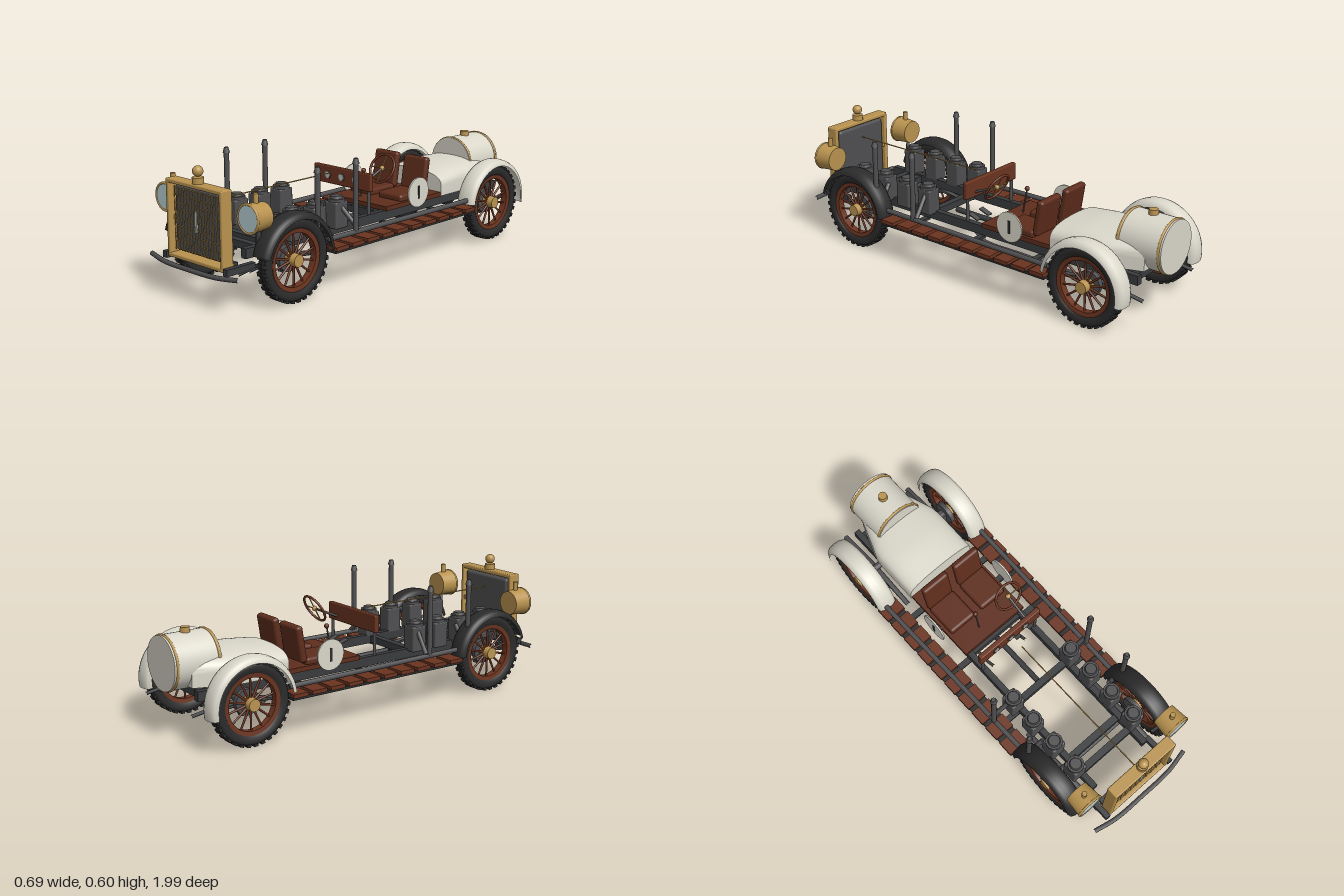
import * as THREE from 'three';
import { mergeGeometries, toCreasedNormals } from 'three/addons/utils/BufferGeometryUtils.js';
import { RoundedBoxGeometry } from 'three/addons/geometries/RoundedBoxGeometry.js';

const paint = (name, color, side = THREE.FrontSide) => {
  const m = new THREE.MeshStandardMaterial({ color, side });
  m.name = name;
  return m;
};
const V = (x, y, z) => new THREE.Vector3(x, y, z);

export function createModel() {
  const rubber = paint('black rubber', 0x2b2b2b, THREE.DoubleSide);
  const steel = paint('grey steel', 0x4f4f51);
  const iron = paint('dark chassis iron', 0x3a3b3d);
  const brass = paint('brass', 0xb9934f);
  const wood = paint('red brown wood', 0x6b3420);
  const leather = paint('brown leather', 0x5e2d1c);
  const cream = paint('cream paint', 0xdad7ca, THREE.DoubleSide);
  const glass = paint('pale lamp glass', 0xb7cfd4);
  const silver = paint('silver', 0xbdbcb4);

  const car = new THREE.Group();
  car.name = 'vintageRacer';
  const add = (name, geo, mat, x = 0, y = 0, z = 0, parent = car) => {
    const m = new THREE.Mesh(geo, mat);
    m.name = name;
    m.position.set(x, y, z);
    parent.add(m);
    return m;
  };
  const box = (name, w, h, d, mat, x, y, z, parent) => add(name, new THREE.BoxGeometry(w, h, d), mat, x, y, z, parent);
  const soft = (name, w, h, d, r, mat, x, y, z, parent) =>
    add(name, new RoundedBoxGeometry(w, h, d, 3, r), mat, x, y, z, parent);
  // Cylinder running from point a to point b
  const rod = (name, a, b, r, mat, rEnd = r, seg = 16, parent = car) => {
    const m = add(name, new THREE.CylinderGeometry(rEnd, r, a.distanceTo(b), seg), mat, 0, 0, 0, parent);
    m.position.copy(a).lerp(b, 0.5);
    m.quaternion.setFromUnitVectors(V(0, 1, 0), b.clone().sub(a).normalize());
    return m;
  };
  const tube = (name, pts, r, mat, radial = 10) =>
    add(name, new THREE.TubeGeometry(new THREE.CatmullRomCurve3(pts), 32, r, radial), mat);
  const lathe = (pts, seg, start, len) =>
    new THREE.LatheGeometry(pts.map(p => new THREE.Vector2(...p)), seg, start, len).rotateZ(-Math.PI / 2);

  const frontZ = 0.65, rearZ = -0.727, axleY = 0.19;

  // Wheels: treaded tyre, wooden rim and spokes, brass hub
  const lugs = [];
  for (let i = 0; i < 32; i++) {
    for (const s of [-1, 1]) {
      lugs.push(new THREE.BoxGeometry(0.024, 0.012, 0.019).translate(s * 0.014, 0.184, 0)
        .rotateX((i + s * 0.25) * Math.PI / 16));
    }
  }
  const treadGeo = mergeGeometries(lugs);
  const tyreGeo = lathe([[0.137, -0.018], [0.15, -0.026], [0.168, -0.028], [0.18, -0.024], [0.186, -0.01],
    [0.186, 0.01], [0.18, 0.024], [0.168, 0.028], [0.15, 0.026], [0.137, 0.018], [0.137, -0.018]], 48);
  const rimGeo = toCreasedNormals(lathe([[0.12, -0.017], [0.14, -0.02], [0.14, 0.02], [0.12, 0.017], [0.12, -0.017]], 48), 0.5);
  const spokes = [];
  for (let i = 0; i < 14; i++) {
    spokes.push(new THREE.CylinderGeometry(0.0045, 0.006, 0.1, 8).translate(0, 0.075, 0).rotateX(i * Math.PI / 7));
  }
  const spokeGeo = mergeGeometries(spokes);
  for (const z of [frontZ, rearZ]) {
    for (const s of [-1, 1]) {
      const wheel = new THREE.Group();
      wheel.name = z > 0 ? 'frontWheel' : 'rearWheel';
      wheel.position.set(s * 0.288, axleY, z);
      car.add(wheel);
      add('tyre', tyreGeo, rubber, 0, 0, 0, wheel);
      add('tread', treadGeo, rubber, 0, 0, 0, wheel);
      add('rim', rimGeo, wood, 0, 0, 0, wheel);
      add('spokes', spokeGeo, wood, 0, 0, 0, wheel);
      rod('hub', V(-s * 0.022, 0, 0), V(s * 0.035, 0, 0), 0.031, brass, 0.028, 24, wheel);
      rod('brakeDrum', V(-s * 0.045, 0, 0), V(-s * 0.022, 0, 0), 0.06, steel, 0.06, 24, wheel);
    }
  }

  // Axles, differential and leaf springs
  for (const z of [frontZ, rearZ]) {
    rod('axle', V(-0.27, axleY, z), V(0.27, axleY, z), 0.017, steel);
    for (const s of [-1, 1]) {
      for (let i = 0; i < 3; i++) {
        const h = 0.245 - i * 0.06, y = 0.187 - i * 0.011;
        const leaf = tube('leafSpring', [V(0, y - 0.03 * (h / 0.245) ** 2, -h), V(0, y, 0),
          V(0, y - 0.03 * (h / 0.245) ** 2, h)], 0.007, steel, 6);
        leaf.scale.x = 1.8;
        leaf.position.set(s * 0.203, 0, z);
      }
      box('springClamp', 0.03, 0.08, 0.04, steel, s * 0.228, 0.165, z);
    }
  }
  add('differential', new THREE.SphereGeometry(0.064, 24, 16), iron, 0, axleY, rearZ);
  rod('driveShaft', V(0, 0.2, 0.25), V(0, axleY, rearZ), 0.014, iron);

  // Ladder frame
  for (const s of [-1, 1]) box('frameRail', 0.03, 0.045, 1.74, iron, s * 0.16, 0.227, -0.05);
  for (const z of [0.72, 0.64, 0.275, -0.06, -0.47, -0.88]) box('crossMember', 0.32, 0.034, 0.034, iron, 0, 0.225, z);
  for (const s of [-1, 1]) {
    tube('underPipe', [V(s * 0.103, 0.175, 0.05), V(s * 0.103, 0.14, -0.01), V(s * 0.103, 0.132, -0.25),
      V(s * 0.103, 0.125, -0.56)], 0.008, steel);
  }

  // Running boards with separate planks
  for (const s of [-1, 1]) {
    box('runningBoard', 0.096, 0.014, 0.98, rubber, s * 0.29, 0.185, -0.05);
    for (let i = 0; i < 10; i++) box('plank', 0.106, 0.018, 0.078, wood, s * 0.291, 0.198, 0.4 - i * 0.1);
    rod('exhaustPipe', V(s * 0.292, 0.236, 0.45), V(s * 0.307, 0.236, -0.54), 0.012, steel);
    for (const z of [0.3, -0.05, -0.4]) box('boardBracket', 0.08, 0.012, 0.03, iron, s * 0.2, 0.195, z);
  }

  // Mudguards
  const guard = (name, R, w, mat, z, start, end) => {
    const profile = [[R - 0.028, -w], [R - 0.008, -w * 0.9], [R, -w * 0.55], [R + 0.003, 0],
      [R, w * 0.55], [R - 0.008, w * 0.9], [R - 0.028, w]];
    for (const s of [-1, 1]) add(name, lathe(profile, 32, start, end - start), mat, s * 0.293, axleY, z);
  };
  guard('frontMudguard', 0.213, 0.049, rubber, frontZ, Math.PI * 1.02, Math.PI * 1.92);
  guard('rearMudguard', 0.218, 0.05, cream, rearZ, Math.PI * 0.95, Math.PI * 1.96);

  // Engine: four pots on each side, with exhaust stacks
  for (const s of [-1, 1]) {
    for (const z of [0.275, 0.413, 0.555, 0.7]) {
      soft('cylinderBlock', 0.074, 0.125, 0.08, 0.008, steel, s * 0.181, 0.3, z);
      rod('cylinderHead', V(s * 0.181, 0.36, z), V(s * 0.181, 0.375, z), 0.04, steel, 0.04, 20);
      rod('cylinderCap', V(s * 0.181, 0.375, z), V(s * 0.181, 0.387, z), 0.03, steel, 0.026, 20);
    }
    for (const z of [0.51, 0.27]) {
      rod('exhaustStack', V(s * 0.297, 0.24, z), V(s * 0.297, 0.555, z), 0.0125, steel);
      rod('stackCap', V(s * 0.297, 0.55, z), V(s * 0.297, 0.575, z), 0.017, steel, 0.01);
      rod('manifold', V(s * 0.21, 0.335, z), V(s * 0.297, 0.245, z - 0.02), 0.011, steel);
    }
  }
  rod('bonnetRod', V(0, 0.437, 0.13), V(0, 0.437, 0.9), 0.003, brass, 0.003, 8);

  // Radiator: brass surround, dark core, wire mesh, filler cap
  for (const s of [-1, 1]) {
    soft('radiatorSide', 0.02, 0.35, 0.06, 0.006, brass, s * 0.174, 0.35, 0.926);
    soft('radiatorBar', 0.368, 0.02, 0.06, 0.006, brass, 0, 0.35 + s * 0.166, 0.926);
    box('radiatorBracket', 0.016, 0.02, 0.03, brass, s * 0.158, 0.35, 0.915);
  }
  soft('radiatorCore', 0.304, 0.295, 0.035, 0.014, steel, 0, 0.352, 0.916);
  box('radiatorFoot', 0.36, 0.03, 0.03, iron, 0, 0.19, 0.885);
  for (const s of [-1, 1]) box('frontHorn', 0.026, 0.03, 0.16, iron, s * 0.2, 0.18, 0.88);
  for (let i = 0; i < 15; i++) box('meshWire', 0.0028, 0.285, 0.003, brass, -0.147 + i * 0.021, 0.352, 0.936);
  for (let i = 0; i < 9; i++) box('meshWire', 0.3, 0.0028, 0.003, brass, 0, 0.216 + i * 0.034, 0.937);
  box('frontBadge', 0.013, 0.094, 0.006, silver, 0, 0.357, 0.942);
  rod('fillerNeck', V(0, 0.522, 0.925), V(0, 0.553, 0.925), 0.026, brass, 0.026, 24);
  add('fillerBall', new THREE.SphereGeometry(0.024, 24, 16), brass, 0, 0.579, 0.925);

  // Headlamps
  for (const s of [-1, 1]) {
    const x = s * 0.272, y = 0.413;
    rod('lampShell', V(x, y, 0.8), V(x, y, 0.888), 0.058, brass, 0.066, 36);
    add('lampRim', new THREE.TorusGeometry(0.0625, 0.006, 10, 40), brass, x, y, 0.889);
    rod('lampGlass', V(x, y, 0.887), V(x, y, 0.892), 0.06, glass, 0.058, 36);
    rod('lampChimney', V(x, 0.465, 0.845), V(x, 0.515, 0.845), 0.012, brass);
    rod('lampPost', V(s * 0.23, 0.23, 0.8), V(x, 0.38, 0.83), 0.009, steel);
  }

  // Front bumper
  tube('bumper', [V(-0.288, 0.167, 0.962), V(-0.17, 0.159, 0.984), V(0, 0.157, 0.987),
    V(0.17, 0.159, 0.984), V(0.288, 0.167, 0.962)], 0.011, steel);

  // Cockpit floor, seats, dashboard
  box('floor', 0.37, 0.022, 0.41, leather, 0, 0.258, -0.265);
  for (const s of [-1, 1]) {
    soft('seatCushion', 0.15, 0.04, 0.17, 0.015, leather, s * 0.095, 0.28, -0.265);
    const back = soft('seatBack', 0.15, 0.175, 0.036, 0.014, leather, s * 0.095, 0.366, -0.372);
    back.rotation.x = -0.16;
    box('pedal', 0.03, 0.005, 0.06, steel, s * 0.04 + 0.1, 0.268, 0.02).rotation.x = -0.35;
  }
  soft('dashboard', 0.37, 0.085, 0.024, 0.005, wood, 0, 0.402, 0.042);
  for (const s of [-1, 1]) rod('dashPost', V(s * 0.165, 0.235, 0.042), V(s * 0.165, 0.37, 0.042), 0.008, steel);
  for (const x of [-0.09, 0, 0.09]) {
    rod('gaugeBezel', V(x, 0.402, 0.05), V(x, 0.402, 0.057), 0.02, steel, 0.02, 20);
    rod('gaugeFace', V(x, 0.402, 0.056), V(x, 0.402, 0.059), 0.016, silver, 0.016, 20);
  }
  rod('gearLever', V(-0.045, 0.265, -0.125), V(-0.045, 0.39, -0.148), 0.004, steel, 0.004, 8);
  add('gearKnob', new THREE.SphereGeometry(0.012, 16, 10), leather, -0.045, 0.395, -0.149);

  // Steering wheel
  const steering = new THREE.Group();
  steering.name = 'steeringWheel';
  steering.position.set(0.12, 0.44, -0.1);
  steering.rotation.x = -0.5;
  car.add(steering);
  add('wheelRing', new THREE.TorusGeometry(0.071, 0.006, 10, 40), wood, 0, 0, 0, steering);
  for (const a of [0, 1, 2, 3]) {
    rod('wheelSpoke', V(0, 0, 0), V(0.07 * Math.cos(a * Math.PI / 2), 0.07 * Math.sin(a * Math.PI / 2), 0),
      0.003, brass, 0.003, 8, steering);
  }
  add('wheelHub', new THREE.SphereGeometry(0.013, 16, 10), brass, 0, 0, 0, steering);
  rod('steeringColumn', V(0.12, 0.44, -0.1), V(0.12, 0.38, 0.04), 0.006, steel);

  // Round side plates with one dark stripe
  for (const s of [-1, 1]) {
    rod('sidePlate', V(s * 0.213, 0.312, -0.252), V(s * 0.221, 0.312, -0.252), 0.073, cream, 0.073, 36);
    box('plateStripe', 0.003, 0.064, 0.012, rubber, s * 0.222, 0.312, -0.252);
    box('plateBracket', 0.03, 0.02, 0.03, iron, s * 0.2, 0.255, -0.252);
  }

  // Rounded tail, tapered towards the tank
  const arch = new THREE.Shape();
  arch.moveTo(-0.19, 0);
  arch.lineTo(-0.19, 0.06);
  arch.bezierCurveTo(-0.19, 0.11, -0.13, 0.135, 0, 0.135);
  arch.bezierCurveTo(0.13, 0.135, 0.19, 0.11, 0.19, 0.06);
  arch.lineTo(0.19, 0);
  const tail = new THREE.ExtrudeGeometry(arch, { depth: 0.455, steps: 10, bevelEnabled: false, curveSegments: 14 });
  tail.translate(0, 0, -0.915);
  const p = tail.attributes.position;
  for (let i = 0; i < p.count; i++) {
    const t = Math.max(0, (-p.getZ(i) - 0.72) / 0.195);
    const rise = Math.min(1, (-p.getZ(i) - 0.46) / 0.15);
    p.setX(i, p.getX(i) * (1 - 0.37 * t));
    p.setY(i, 0.25 + p.getY(i) * (0.86 + 0.14 * rise));
  }
  add('tailBody', toCreasedNormals(tail, 0.7), cream);

  // Fuel tank with brass straps and cap
  rod('fuelTank', V(0, 0.348, -0.765), V(0, 0.348, -0.997), 0.125, cream, 0.125, 48);
  for (const z of [-0.775, -0.982]) {
    const strap = add('tankStrap', new THREE.TorusGeometry(0.125, 0.005, 8, 48), brass, 0, 0.348, z);
    strap.scale.z = 1.3;
  }
  rod('tankCap', V(0, 0.465, -0.875), V(0, 0.495, -0.875), 0.023, brass, 0.021, 20);

  return car;
}
